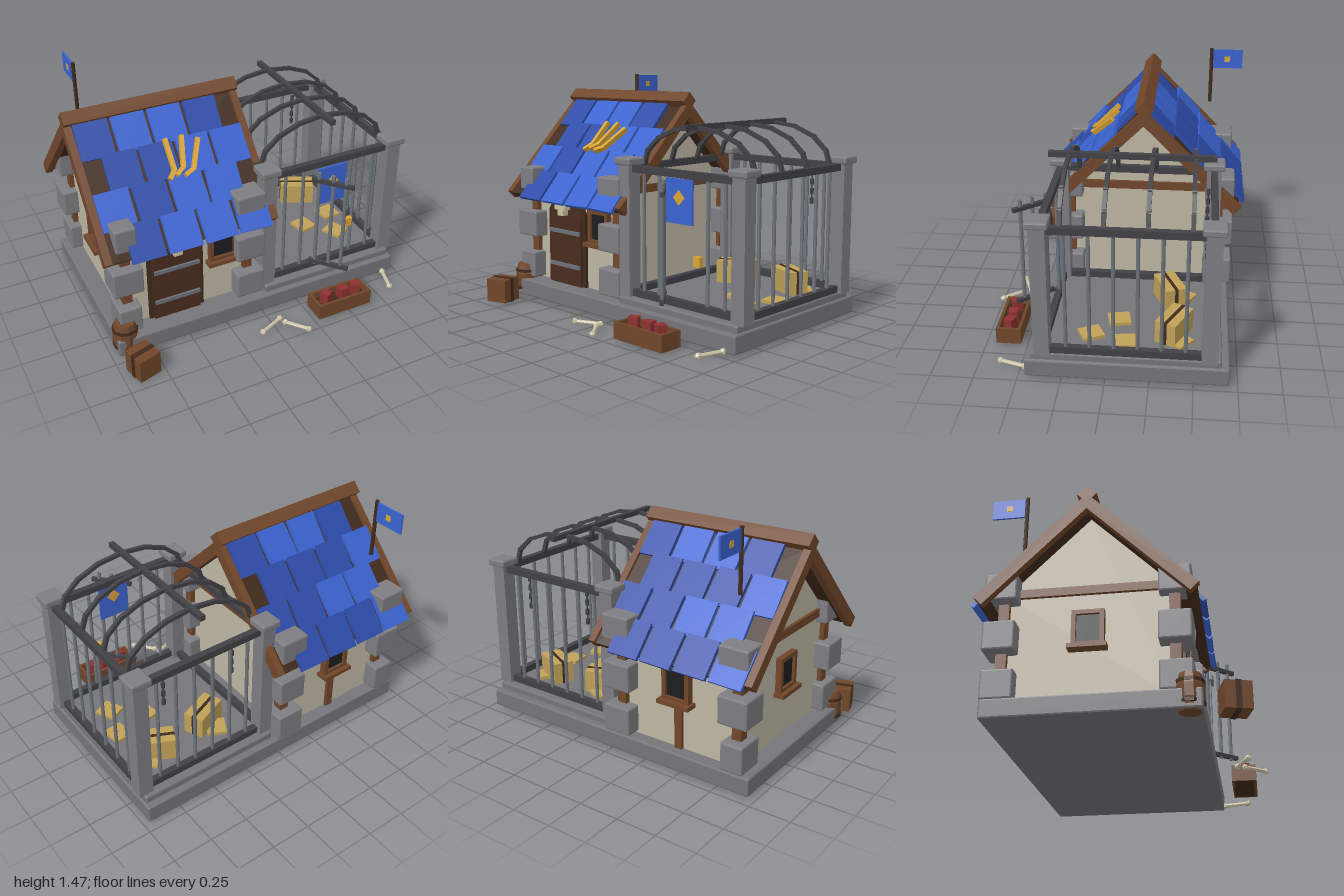
import * as THREE from 'three';
import { RoundedBoxGeometry } from 'three/addons/geometries/RoundedBoxGeometry.js';

const C = {
  stone: 0x7d7d82, slab: 0x75757a, iron: 0x414146, bar: 0x6c727a, plaster: 0xbdb6a3, wood: 0x70462a,
  dark: 0x402a1c, door: 0x4a2d20, pane: 0x1e1e20, blue: 0x3a63d0, navy: 0x2d4ca9, gold: 0xd9a436,
  straw: 0xc0a156, bone: 0xcbc2a5, meat: 0x8f3030,
};
const mats = {};
const mat = (c) => (mats[c] ??= new THREE.MeshStandardMaterial({ color: C[c], flatShading: true }));

function add(parent, name, color, geo, x = 0, y = 0, z = 0, ry = 0) {
  const m = new THREE.Mesh(geo, mat(color));
  m.name = name;
  m.position.set(x, y, z);
  m.rotation.y = ry;
  parent.add(m);
  return m;
}
const box = (p, name, color, w, h, d, x, y, z, ry) => add(p, name, color, new THREE.BoxGeometry(w, h, d), x, y, z, ry);
const block = (p, name, color, w, h, d, x, y, z, ry) =>
  add(p, name, color, new RoundedBoxGeometry(w, h, d, 1, 0.01), x, y, z, ry);
const rod = (p, name, color, r, h, x, y, z, n = 8) => add(p, name, color, new THREE.CylinderGeometry(r, r, h, n), x, y, z);
function group(parent, name, x = 0, y = 0, z = 0, ry = 0) {
  const g = new THREE.Group();
  g.name = name;
  g.position.set(x, y, z);
  g.rotation.y = ry;
  parent.add(g);
  return g;
}
function seeded(seed) {
  return () => (seed = (seed * 16807) % 2147483647) / 2147483647 - 0.5;
}

// Framed window facing +z
function windowUnit(p, x, y, z, ry) {
  const g = group(p, 'window', x, y, z, ry);
  box(g, 'windowPane', 'pane', 0.14, 0.18, 0.02, 0, 0, 0.01);
  for (const s of [-1, 1]) {
    box(g, 'windowJamb', 'wood', 0.025, 0.21, 0.045, s * 0.078, 0, 0.015);
    box(g, 'windowRail', 'wood', 0.18, 0.025, 0.045, 0, s * 0.095, 0.015);
  }
  box(g, 'windowSill', 'wood', 0.215, 0.025, 0.08, 0, -0.115, 0.025);
}

// One roof slope; local +z runs down the slope
function roofSlope(p, ry, seed) {
  const turn = group(p, 'roofSlope', -0.455, 1.267, -0.15, ry);
  const g = group(turn, 'slopeParts');
  g.rotation.x = Math.PI / 4;
  box(g, 'roofBoard', 'dark', 1.01, 0.035, 0.83, 0, 0, 0.415);
  for (const s of [-1, 1]) box(g, 'bargeBoard', 'wood', 0.045, 0.068, 0.86, s * 0.522, 0, 0.4);
  const rnd = seeded(seed);
  for (let r = 0; r < 4; r++) for (let i = 0; i < 4; i++) {
    const t = box(g, 'roofTile', rnd() > 0 ? 'blue' : 'navy', 0.205, 0.022, 0.225,
      (i - 1.5) * 0.226 + (r % 2 ? 0.055 : -0.055), 0.031, 0.115 + r * 0.212, rnd() * 0.08);
    t.rotation.x = 0.06;
  }
  return g;
}

function house(root) {
  const h = group(root, 'house');
  const [x0, x1, zc, hd] = [-0.85, -0.06, -0.15, 0.47];
  const s = new THREE.Shape([[-hd, 0.11], [hd, 0.11], [hd, 0.775], [0, 1.245], [-hd, 0.775]].map((a) => new THREE.Vector2(...a)));
  const wall = new THREE.ExtrudeGeometry(s, { depth: x1 - x0, bevelEnabled: false }).rotateY(Math.PI / 2);
  add(h, 'walls', 'plaster', wall, x0, 0, zc);
  // Corner posts and stacked stones
  for (const x of [x0, x1]) {
    for (const sz of [-1, 1]) {
      const z = zc + sz * hd;
      box(h, 'cornerPost', 'wood', 0.06, 0.64, 0.06, x, 0.43, z);
      [[0.22, x === x0 ? 0.14 : 0.18], [0.495, 0.185], [0.79, x === x0 && sz > 0 ? 0.13 : 0.185]].forEach(([y, w], i) =>
        block(h, 'cornerStone', 'stone', w, i === 2 ? 0.16 : 0.17, 0.18, x - 0.005, y, z + sz * 0.005));
    }
    box(h, 'gableBeam', 'wood', 0.04, 0.05, 0.94, x, 0.775, zc);
  }
  box(h, 'backPost', 'wood', 0.05, 0.64, 0.04, -0.455, 0.43, -0.62);
  windowUnit(h, -0.225, 0.535, 0.32, 0);
  windowUnit(h, -0.455, 0.535, -0.635, Math.PI);
  windowUnit(h, x0, 0.535, zc, -Math.PI / 2);

  // Arched door with iron bands and a skull above
  const arch = (w, top) => new THREE.ExtrudeGeometry(new THREE.Shape(
    [[-w, 0.12], [w, 0.12], [w, top - 0.09], [w * 0.72, top - 0.02], [w * 0.4, top], [-w * 0.4, top], [-w * 0.72, top - 0.02], [-w, top - 0.09]]
      .map((a) => new THREE.Vector2(...a))), { depth: 0.03, bevelEnabled: false });
  add(h, 'doorFrame', 'dark', arch(0.178, 0.69), -0.535, 0, 0.31);
  add(h, 'door', 'door', arch(0.15, 0.66), -0.535, 0, 0.325);
  for (const y of [0.25, 0.47]) box(h, 'doorBand', 'bar', 0.29, 0.025, 0.015, -0.535, y, 0.36);
  box(h, 'skull', 'bone', 0.1, 0.055, 0.06, -0.535, 0.645, 0.37);
  box(h, 'skullJaw', 'bone', 0.055, 0.04, 0.05, -0.535, 0.6, 0.37);

  // Roof, ridge and claw ornament
  const front = roofSlope(h, 0, 71);
  roofSlope(h, Math.PI, 407);
  box(h, 'ridgeBeam', 'wood', 1.09, 0.08, 0.08, -0.455, 1.315, zc).rotation.x = Math.PI / 4;
  [[0, 0.31, 0], [0.08, 0.31, -0.25], [0.155, 0.34, -0.45]].forEach(([x, z, a]) => {
    const c = group(front, 'claw', x, 0.065, z, a);
    box(c, 'clawToe', 'gold', 0.026, 0.03, 0.2, 0, 0, 0);
    box(c, 'clawTip', 'gold', 0.026, 0.03, 0.07, -0.02, 0, 0.115, -0.7);
  });

  // Flag
  rod(h, 'flagPole', 'dark', 0.012, 0.37, -0.79, 1.285, -0.55);
  box(h, 'flag', 'blue', 0.012, 0.125, 0.195, -0.79, 1.4, -0.66);
  box(h, 'flagPatch', 'gold', 0.018, 0.036, 0.036, -0.79, 1.4, -0.655);
}

function cage(root) {
  const g = group(root, 'cage');
  const [x0, x1, z0, z1] = [0.065, 0.935, -0.585, 0.355];
  const [cx, cz, w, d] = [(x0 + x1) / 2, (z0 + z1) / 2, x1 - x0, z1 - z0];
  block(g, 'cageFloor', 'slab', 0.92, 0.06, 1.08, 0.495, 0.135, cz);
  for (const x of [x0, x1]) for (const z of [z0, z1]) {
    box(g, 'pillar', 'stone', 0.09, 0.8, 0.09, x, 0.56, z);
    block(g, 'pillarCap', 'stone', 0.13, 0.045, 0.13, x, 0.978, z);
  }
  for (const y of [0.188, 0.935]) {
    for (const z of [z0, z1]) box(g, 'rail', 'iron', w, 0.042, 0.04, cx, y, z);
    for (const x of [x0, x1]) box(g, 'rail', 'iron', 0.04, 0.042, d, x, y, cz);
  }
  // Upright bars, leaving the doorway open
  for (let i = 1; i < 7; i++) {
    const x = x0 + (w * i) / 7, z = z0 + (d * i) / 7;
    rod(g, 'bar', 'bar', 0.011, 0.73, x, 0.56, z0);
    rod(g, 'bar', 'bar', 0.011, 0.73, x1, 0.56, z);
    if (i < 3 || i > 4) rod(g, 'bar', 'bar', 0.011, 0.73, x, 0.56, z1);
  }
  // Roof hoops made of straight links
  for (const z of [-0.47, -0.233, 0.003, 0.24]) {
    const n = 8, pt = (i) => [cx - 0.425 * Math.cos((Math.PI * i) / n), 0.94 + 0.25 * Math.sin((Math.PI * i) / n)];
    for (let i = 0; i < n; i++) {
      const [a, b] = pt(i), [c, e] = pt(i + 1);
      box(g, 'hoopLink', 'iron', Math.hypot(c - a, e - b) + 0.02, 0.022, 0.025, (a + c) / 2, (b + e) / 2, z)
        .rotation.z = Math.atan2(e - b, c - a);
    }
  }
  box(g, 'ridgeRail', 'iron', 0.032, 0.032, 0.945, cx, 1.193, cz);

  // Open door
  const door = group(g, 'cageDoor', 0.37, 0, 0.375, -0.86);
  for (const y of [0.24, 0.845]) box(door, 'doorRail', 'iron', 0.26, 0.025, 0.025, 0.13, y, 0);
  for (const x of [0.04, 0.13, 0.21]) rod(door, 'doorBar', 'bar', 0.012, 0.68, x, 0.56, 0);

  // Banner and padlock
  box(g, 'banner', 'blue', 0.2, 0.255, 0.012, 0.5, 0.785, 0.385);
  box(g, 'bannerPatch', 'gold', 0.062, 0.062, 0.02, 0.5, 0.805, 0.385).rotation.z = Math.PI / 4;
  box(g, 'padlock', 'gold', 0.048, 0.058, 0.03, 0.64, 0.46, 0.385);

  // Hanging chains
  for (const x of [0.275, 0.745]) {
    rod(g, 'chain', 'iron', 0.005, 0.22, x, 0.8, -0.55, 6);
    for (let i = 0; i < 4; i++) rod(g, 'chainLink', 'iron', 0.012, 0.035, x, 0.71 + i * 0.06, -0.55, 6);
  }
  // Straw bales and loose straw
  for (const [x, z, r] of [[0.33, -0.34, 0.4], [0.71, -0.38, -0.45]]) {
    const b = group(g, 'strawBale', x, 0.235, z, r);
    box(b, 'bale', 'straw', 0.23, 0.14, 0.13, 0, 0, 0);
    box(b, 'baleStrap', 'dark', 0.235, 0.146, 0.02, 0, 0, 0);
  }
  for (const [x, z, r] of [[0.58, -0.05, 0.2], [0.81, -0.11, 0.1], [0.745, 0.1, 0.45], [0.29, -0.42, -0.5], [0.78, -0.41, -0.7]])
    box(g, 'looseStraw', 'straw', 0.12, 0.02, 0.13, x, 0.175, z, r);
}

function props(root) {
  // Feeding trough with meat
  const t = group(root, 'trough', 0.465, 0, 0.615);
  box(t, 'troughFloor', 'dark', 0.35, 0.06, 0.13, 0, 0.04, 0);
  for (const s of [-1, 1]) {
    box(t, 'troughSide', 'wood', 0.375, 0.1, 0.018, 0, 0.06, s * 0.066);
    box(t, 'troughEnd', 'wood', 0.018, 0.1, 0.13, s * 0.178, 0.06, 0);
  }
  [[-0.1, 0.5], [0.02, 0.15], [0.11, -0.4]].forEach(([x, r]) => box(t, 'meat', 'meat', 0.06, 0.075, 0.055, x, 0.105, 0, r));

  // Crate and barrel
  const c = group(root, 'crate', -0.87, 0.08, 0.615, 0.28);
  box(c, 'crateBody', 'wood', 0.145, 0.15, 0.145, 0, 0, 0);
  box(c, 'crateStrap', 'dark', 0.15, 0.158, 0.03, 0, 0, 0);
  const b = group(root, 'barrel', -0.895, 0, 0.39);
  const prof = [[0, 0.01], [0.062, 0.01], [0.077, 0.075], [0.077, 0.15], [0.062, 0.215], [0, 0.215]].map((a) => new THREE.Vector2(...a));
  add(b, 'barrelBody', 'wood', new THREE.LatheGeometry(prof, 10));
  for (const y of [0.055, 0.17]) rod(b, 'barrelHoop', 'dark', 0.079, 0.018, 0, y, 0, 10);

  // Bones on the ground
  for (const [ax, az, bx, bz] of [[-0.1, 0.65, 0.05, 0.585], [0.065, 0.63, 0.165, 0.75], [0.895, 0.47, 0.85, 0.62]]) {
    const n = group(root, 'bone', (ax + bx) / 2, 0.025, (az + bz) / 2, Math.atan2(-(bz - az), bx - ax));
    const l = Math.hypot(bx - ax, bz - az);
    rod(n, 'boneShaft', 'bone', 0.012, l, 0, 0, 0, 6).rotation.z = Math.PI / 2;
    for (const s of [-1, 1]) add(n, 'boneEnd', 'bone', new THREE.IcosahedronGeometry(0.021, 0), (s * l) / 2, 0, 0);
  }
}

export function createModel() {
  const root = new THREE.Group();
  root.name = 'cageHouse';
  block(root, 'base', 'slab', 1.93, 0.11, 1.16, 0.005, 0.068, -0.12);
  house(root);
  cage(root);
  props(root);
  return root;
}
